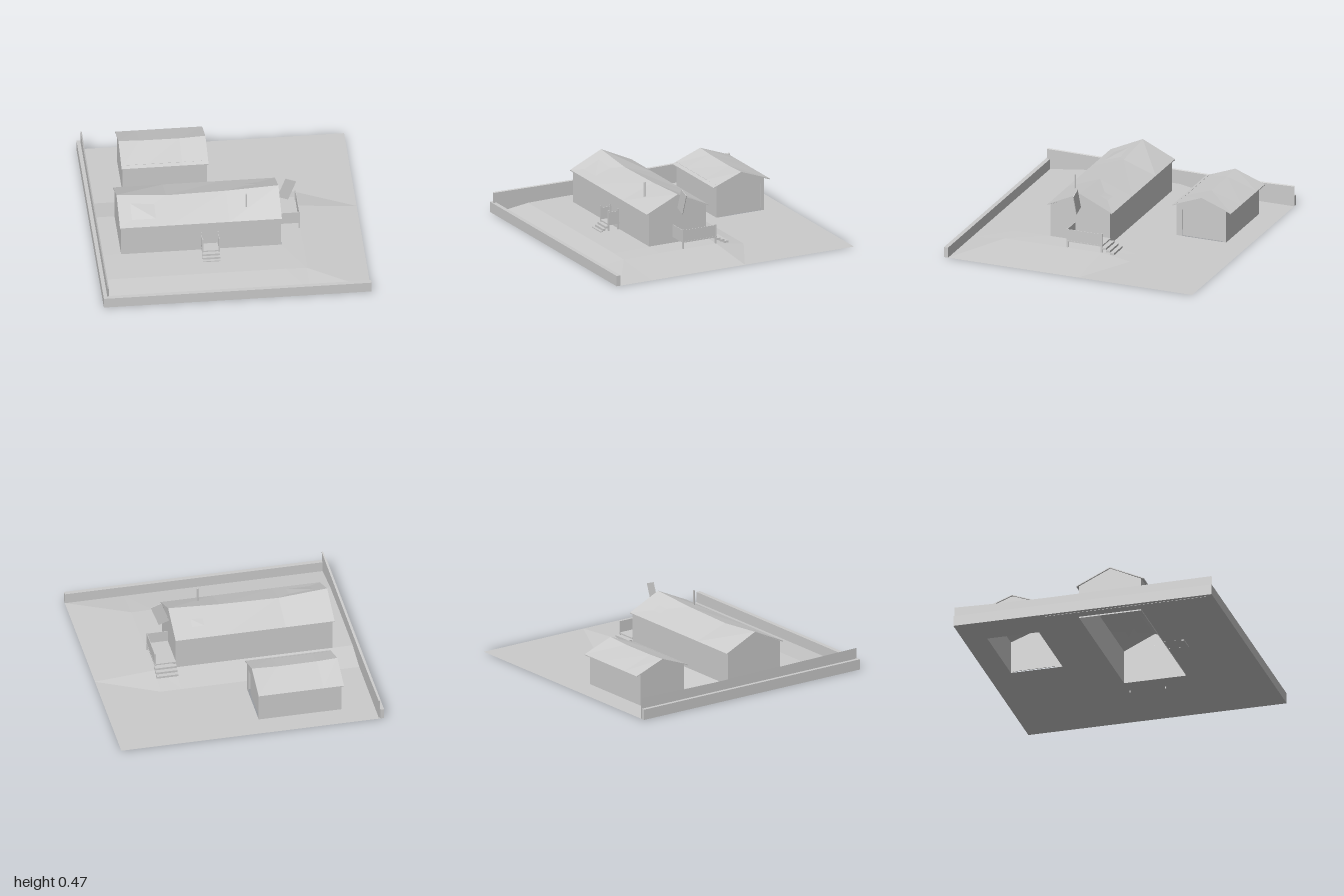
import * as THREE from 'three';

const grey = new THREE.MeshStandardMaterial({ color: 0xcccccc, side: THREE.DoubleSide, flatShading: true });
grey.name = 'plain grey';

function addMesh(parent, name, geometry) {
  const mesh = new THREE.Mesh(geometry, grey);
  mesh.name = name;
  parent.add(mesh);
  return mesh;
}

// box given by its minimum and maximum on each axis
function addBox(parent, name, x0, x1, y0, y1, z0, z1) {
  const mesh = addMesh(parent, name, new THREE.BoxGeometry(x1 - x0, y1 - y0, z1 - z0));
  mesh.position.set((x0 + x1) / 2, (y0 + y1) / 2, (z0 + z1) / 2);
  return mesh;
}

// flat-shaded skin over rows of points; keep(row, column) may leave cells open
function skin(rows, keep = () => true) {
  const out = [];
  for (let i = 0; i < rows.length - 1; i++) {
    for (let j = 0; j < rows[i].length - 1; j++) {
      if (!keep(i, j)) continue;
      const a = rows[i][j], b = rows[i][j + 1], c = rows[i + 1][j + 1], d = rows[i + 1][j];
      out.push(...a, ...d, ...c, ...a, ...c, ...b);
    }
  }
  const geometry = new THREE.BufferGeometry();
  geometry.setAttribute('position', new THREE.Float32BufferAttribute(out, 3));
  geometry.computeVertexNormals();
  return geometry;
}

// linear interpolation through [position, value] pairs
function ramp(points, t) {
  if (t <= points[0][0]) return points[0][1];
  for (let i = 1; i < points.length; i++) {
    const [p, v] = points[i - 1], [q, w] = points[i];
    if (t <= q) return v + (w - v) * (t - p) / (q - p);
  }
  return points[points.length - 1][1];
}

// low mound with openings under both buildings
function buildGround(parent) {
  const xs = [-0.99, -0.81, -0.715, -0.085, 0.39, 0.55, 1];
  const zs = [-1, -0.82, -0.42, -0.31, -0.08, 0.4, 0.7, 0.97];
  const along = [[-0.31, 0], [-0.08, 0.04], [0.4, 0.04], [0.7, 0.036], [0.97, 0]];
  const across = [[0.5, 1], [1, 0]];
  const rows = zs.map(z => xs.map(x => [x, ramp(along, z) * ramp(across, x), z]));
  const keep = (i, j) => !(i === 4 && j >= 1 && j <= 3) && !(i === 1 && j === 2);
  addMesh(parent, 'ground', skin(rows, keep));
}

// roof slab with a sagging ridge: ridge is a list of [x, y]
function buildRoof(parent, ridge, zRidge, zFront, zBack, yEave, t) {
  const rows = ridge.map(([x, y]) => [
    [x, yEave, zFront], [x, y, zRidge], [x, yEave, zBack],
    [x, yEave - t, zBack], [x, y - t, zRidge], [x, yEave - t, zFront], [x, yEave, zFront],
  ]);
  addMesh(parent, 'roof', skin(rows));
  for (const r of [rows[0], rows[rows.length - 1]]) {
    addMesh(parent, 'roofEdge', skin([[r[0], r[1], r[2]], [r[5], r[4], r[3]]]));
  }
}

// gable end in the z-y plane, with an optional doorway [z0, z1, height]
function addGable(parent, x, zFront, zBack, zRidge, yBase, yWall, yRidge, door) {
  const points = [[-zFront, yBase]];
  if (door) points.push([-door[1], yBase], [-door[1], door[2]], [-door[0], door[2]], [-door[0], yBase]);
  points.push([-zBack, yBase], [-zBack, yWall], [-zRidge, yRidge], [-zFront, yWall]);
  const shape = new THREE.Shape(points.map(([u, v]) => new THREE.Vector2(u, v)));
  const mesh = addMesh(parent, 'gableWall', new THREE.ShapeGeometry(shape));
  mesh.rotation.y = Math.PI / 2;
  mesh.position.x = x;
}

function addSideWalls(parent, x0, x1, y0, y1, zFront, zBack) {
  for (const [name, z, turn] of [['frontWall', zFront, 0], ['backWall', zBack, Math.PI]]) {
    const mesh = addMesh(parent, name, new THREE.PlaneGeometry(x1 - x0, y1 - y0));
    mesh.position.set((x0 + x1) / 2, (y0 + y1) / 2, z);
    mesh.rotation.y = turn;
  }
}

// open stair treads and risers leading down from z0 in direction dir
function addSteps(parent, x0, x1, z0, dir, depth) {
  const count = 3;
  for (let i = 0; i < count; i++) {
    const y = 0.077 - i * 0.016;
    const a = z0 + dir * depth * i, b = a + dir * depth;
    addBox(parent, 'step', x0, x1, y - 0.016, y, Math.min(a, b), Math.max(a, b));
  }
}

function buildHouse() {
  const house = new THREE.Group();
  house.name = 'house';
  addSideWalls(house, -0.81, 0.385, 0.03, 0.291, 0.4, -0.08);
  for (const x of [-0.81, 0.385]) addGable(house, x, 0.4, -0.08, 0.16, 0.03, 0.291, 0.405);
  const ridge = [[-0.82, 0.413], [-0.45, 0.382], [0, 0.391], [0.39, 0.412]];
  buildRoof(house, ridge, 0.16, 0.42, -0.1, 0.292, 0.008);
  addBox(house, 'innerDoor', -0.19, -0.1, 0.085, 0.27, 0.39, 0.397);

  // stove pipe
  const pipe = addMesh(house, 'chimneyPipe', new THREE.CylinderGeometry(0.007, 0.007, 0.125, 8));
  pipe.position.set(0.135, 0.393, 0.305);

  // tilted plate on the gable
  const plate = addMesh(house, 'gablePlate', new THREE.BoxGeometry(0.085, 0.172, 0.005));
  plate.position.set(0.453, 0.37, 0.157);
  plate.rotation.z = -0.36;
  return house;
}

function buildGarage() {
  const garage = new THREE.Group();
  garage.name = 'garage';
  addSideWalls(garage, -0.715, -0.085, 0, 0.253, -0.42, -0.82);
  addGable(garage, -0.715, -0.42, -0.82, -0.625, 0, 0.253, 0.322);
  addGable(garage, -0.085, -0.42, -0.82, -0.625, 0, 0.253, 0.322, [-0.79, -0.47, 0.21]);
  addBox(garage, 'garageDoor', -0.105, -0.099, 0, 0.215, -0.795, -0.465);
  const ridge = [[-0.725, 0.33], [-0.57, 0.323], [-0.27, 0.321], [-0.075, 0.33]];
  buildRoof(garage, ridge, -0.625, -0.39, -0.865, 0.241, 0.007);
  return garage;
}

function buildFrontPorch() {
  const porch = new THREE.Group();
  porch.name = 'frontPorch';
  addBox(porch, 'porchFloor', -0.213, -0.083, 0.083, 0.093, 0.4, 0.493);
  for (const x of [-0.21, -0.086]) {
    addBox(porch, 'porchRail', x - 0.002, x + 0.002, 0.093, 0.183, 0.4, 0.49);
    for (const z of [0.41, 0.488]) addBox(porch, 'porchPost', x - 0.005, x + 0.005, 0.035, 0.2, z - 0.005, z + 0.005);
  }
  addSteps(porch, -0.213, -0.083, 0.493, 1, 0.022);
  return porch;
}

function buildSidePorch() {
  const porch = new THREE.Group();
  porch.name = 'sidePorch';
  addBox(porch, 'porchFloor', 0.385, 0.547, 0.083, 0.093, -0.085, 0.2);
  addBox(porch, 'frontRail', 0.385, 0.545, 0.093, 0.18, 0.196, 0.2);
  addBox(porch, 'sideRail', 0.541, 0.545, 0.093, 0.18, -0.08, 0.2);
  for (const z of [-0.078, 0.196]) addBox(porch, 'porchPost', 0.536, 0.546, 0.02, 0.183, z - 0.005, z + 0.005);
  addSteps(porch, 0.385, 0.55, -0.085, -1, 0.032);
  return porch;
}

export function createModel() {
  const model = new THREE.Group();
  model.name = 'homestead';
  buildGround(model);

  // low walls around two edges
  addBox(model, 'frontBoundaryWall', -1, 1, 0, 0.08, 0.967, 1);
  addBox(model, 'sideBoundaryWall', -1, -0.972, 0, 0.08, -1, 1);

  // leaning side fence with an uneven top
  const tops = [[-1, 0.163], [-0.7, 0.155], [-0.3, 0.151], [0.3, 0.156], [0.99, 0.163]];
  const section = (z, y) => [
    [-0.968, 0, z], [-0.97, y, z], [-0.96, y - 0.005, z], [-0.962, 0, z], [-0.968, 0, z],
  ];
  addMesh(model, 'fence', skin(tops.map(([z, y]) => section(z, y))));

  model.add(buildHouse(), buildGarage(), buildFrontPorch(), buildSidePorch());
  return model;
}
